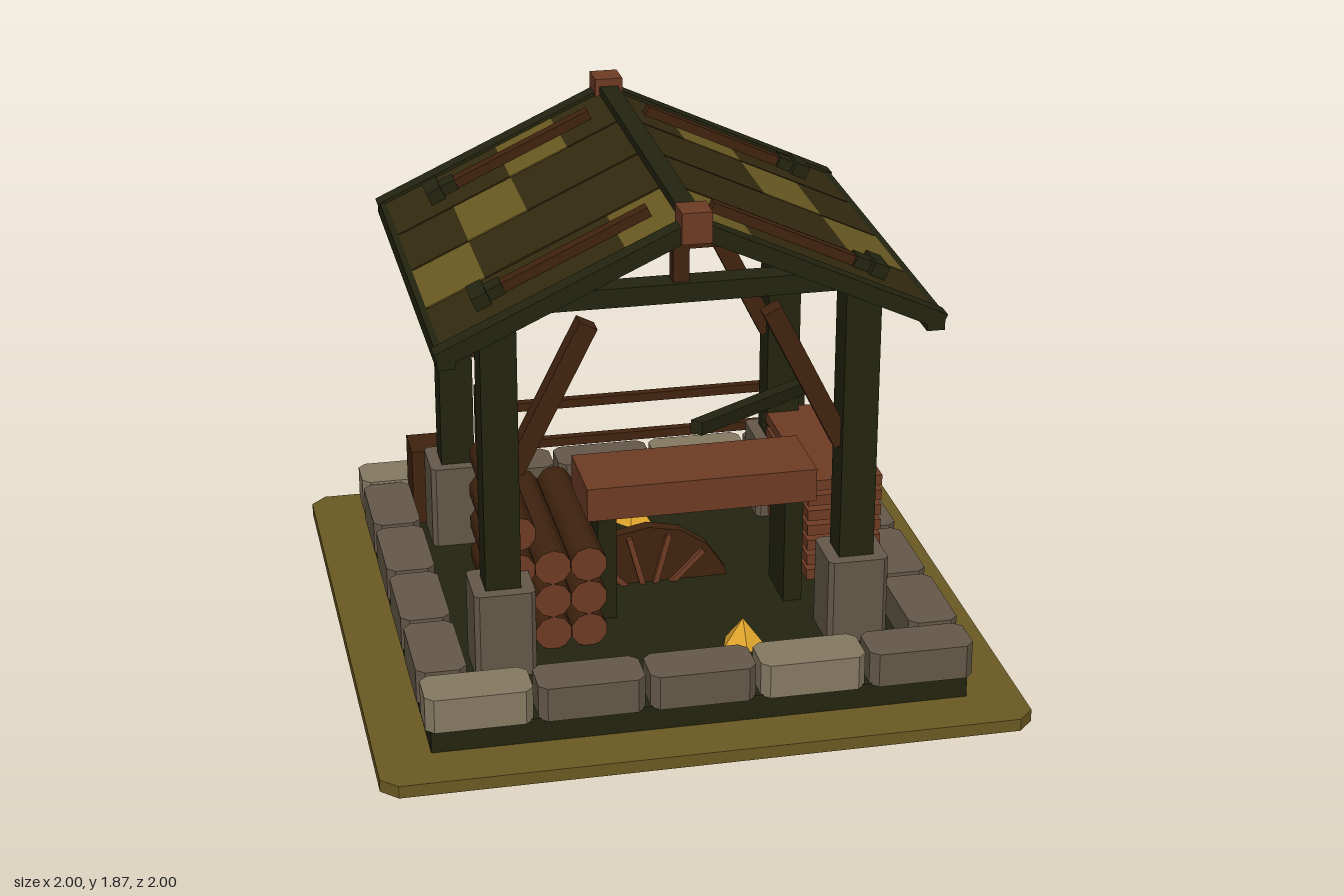
import * as THREE from 'three';

const mat = (name, color) => {
  const m = new THREE.MeshStandardMaterial({ color });
  m.name = name;
  return m;
};

export function createModel() {
  const root = new THREE.Group();
  root.name = 'timberShelter';
  const grass = mat('olive', 0x6b5a22);
  const timber = mat('darkTimber', 0x23240f);
  const brown = mat('darkBrown', 0x40230f);
  const red = mat('redBrown', 0x6e3b24);
  const stone = mat('stone', 0x645848);
  const paleStone = mat('paleStone', 0x857a62);
  const shingle = mat('roofBrown', 0x342a10);
  const gold = mat('gold', 0xe0a52c);

  const add = (name, geo, material, x = 0, y = 0, z = 0, parent = root) => {
    const m = new THREE.Mesh(geo, material);
    m.name = name;
    m.position.set(x, y, z);
    parent.add(m);
    return m;
  };
  // box given by its lower and upper corners
  const box = (name, material, x0, x1, y0, y1, z0, z1) =>
    add(name, new THREE.BoxGeometry(x1 - x0, y1 - y0, z1 - z0), material,
      (x0 + x1) / 2, (y0 + y1) / 2, (z0 + z1) / 2);
  // upright block with its plan corners cut off
  const block = (name, material, x, y, z, w, h, d, c) => {
    const a = w / 2, b = d / 2;
    const s = new THREE.Shape([[-a + c, -b], [a - c, -b], [a, -b + c], [a, b - c],
      [a - c, b], [-a + c, b], [-a, b - c], [-a, -b + c]].map(p => new THREE.Vector2(...p)));
    const g = new THREE.ExtrudeGeometry(s, { depth: h, bevelEnabled: false });
    g.rotateX(-Math.PI / 2);
    return add(name, g, material, x, y, z);
  };
  // square timber running between two points
  const beam = (name, material, p, q, w, h) => {
    const a = new THREE.Vector3(...p), b = new THREE.Vector3(...q);
    const mid = a.clone().add(b).multiplyScalar(0.5);
    const m = add(name, new THREE.BoxGeometry(w, h, a.distanceTo(b)), material, mid.x, mid.y, mid.z);
    m.lookAt(b);
    return m;
  };
  const flat = g => {
    const f = g.toNonIndexed();
    f.computeVertexNormals();
    return f;
  };

  // ground plate and floor
  block('ground', grass, 0, 0.245, 0, 2, 0.04, 2, 0.05);
  box('floor', timber, -0.83, 0.83, 0.285, 0.365, -0.83, 0.83);

  // border stones
  for (const s of [-1, 1]) {
    for (let i = 0; i < 5; i++)
      block('borderStone', i % 3 === 0 ? paleStone : stone, (i - 2) * 0.341, 0.36, s * 0.77, 0.326, 0.11, 0.155, 0.025);
    for (let i = 0; i < 4; i++)
      block('borderStone', stone, s * 0.77, 0.36, (i - 1.5) * 0.342, 0.155, 0.11, 0.322, 0.025);
  }

  // posts, footings and gable frames
  for (const sz of [-1, 1]) {
    const z = sz * 0.465;
    for (const sx of [-1, 1]) {
      block('footing', stone, sx * 0.555, 0.36, z, 0.19, 0.285, 0.19, 0.015);
      add('post', new THREE.BoxGeometry(0.11, 1.2, 0.11), timber, sx * 0.555, 0.96, z);
      beam('brace', brown, [sx * 0.51, 1.02, z], [sx * 0.28, 1.475, z], 0.06, 0.06);
      beam('rafter', timber, [0, 1.825, sz * 0.65], [sx * 0.755, 1.475, sz * 0.65], 0.06, 0.05);
    }
    box('tieBeam', timber, -0.54, 0.54, 1.53, 1.59, z - 0.04, z + 0.04);
    box('kingPost', brown, -0.025, 0.025, 1.59, 1.81, z - 0.025, z + 0.025);
    box('ridgeCap', red, -0.045, 0.045, 1.785, 1.88, sz * 0.65 - 0.048, sz * 0.65 + 0.048);
  }
  box('crossBeam', brown, -0.52, 0.52, 1.515, 1.565, -0.03, 0.03);
  box('ridgeBeam', timber, -0.03, 0.03, 1.79, 1.855, -0.68, 0.68);

  // roof slopes: four rows of four panels, straps and eaves
  const angle = Math.atan2(0.35, 0.755);
  for (const s of [-1, 1]) {
    const slope = new THREE.Group();
    slope.name = 'roofSlope';
    slope.position.y = 1.825;
    slope.rotation.z = -s * angle;
    root.add(slope);
    for (let r = 0; r < 4; r++) for (let c = 0; c < 4; c++)
      add('roofPanel', new THREE.BoxGeometry(0.203, 0.03, 0.31), c === (r + 1) % 4 ? grass : shingle,
        s * (0.1015 + c * 0.203), 0, (r - 1.5) * 0.32, slope);
    for (const z of [-0.465, 0.465]) {
      add('roofStrap', new THREE.BoxGeometry(0.5, 0.03, 0.04), brown, s * 0.34, 0.03, z, slope);
      add('strapNeck', new THREE.BoxGeometry(0.06, 0.035, 0.06), timber, s * 0.6, 0.032, z, slope);
      add('strapFoot', new THREE.BoxGeometry(0.05, 0.045, 0.11), timber, s * 0.645, 0.035, z, slope);
    }
    add('eaveBeam', new THREE.BoxGeometry(0.055, 0.05, 1.36), timber, s * 0.73, 1.475, 0);
  }

  // workbench
  box('benchTop', red, -0.25, 0.488, 0.73, 0.84, 0.02, 0.285);
  for (const x of [-0.18, 0.425]) box('benchLeg', timber, x - 0.03, x + 0.03, 0.36, 0.73, 0.06, 0.25);

  // loose leaning beam
  beam('looseBeam', timber, [0.125, 0.962, 0.16], [0.62, 0.888, -0.285], 0.045, 0.042);

  // stacked planks
  for (let i = 0; i < 7; i++) {
    const y = 0.715 - i * 0.053;
    box('stackedPlank', red, 0.5, 0.745, y - 0.019, y + 0.017, -0.45, 0.145);
  }

  // log pile, with pale cut ends
  const logGeo = new THREE.CylinderGeometry(0.058, 0.058, 0.61, 10);
  logGeo.rotateX(Math.PI / 2);
  const log = (x, y) => add('log', logGeo, [brown, red, red], x, y, 0.105);
  for (let r = 0; r < 3; r++) for (let c = 0; c < 3; c++) log(-0.27 - c * 0.112, 0.418 + r * 0.114);
  log(-0.49, 0.77);

  // back fence
  for (const x of [-0.445, 0.66]) box('fencePost', timber, x - 0.02, x + 0.02, 0.36, 0.83, -0.63, -0.59);
  for (const y of [0.605, 0.745]) box('fenceRail', brown, -0.445, 0.66, y - 0.015, y + 0.015, -0.625, -0.595);

  // crate in the back corner
  box('crate', brown, -0.69, -0.51, 0.36, 0.63, -0.705, -0.56);

  // half-sunk wheel
  const wheel = new THREE.Group();
  wheel.name = 'wheel';
  wheel.position.set(0, 0.285, 0);
  root.add(wheel);
  const disc = (name, r, z0, z1, n, m) => {
    const g = new THREE.CylinderGeometry(r, r, z1 - z0, n);
    g.rotateX(Math.PI / 2);
    return add(name, flat(g), m, 0, 0, (z0 + z1) / 2, wheel);
  };
  disc('wheelDisc', 0.276, -0.018, 0.025, 16, brown);
  disc('wheelBack', 0.22, -0.022, -0.018, 16, timber);
  disc('wheelHub', 0.05, 0.02, 0.08, 8, brown);
  for (let i = 0; i < 12; i++) {
    const a = (i + 0.5) * Math.PI / 6;
    const spoke = add('spoke', new THREE.BoxGeometry(0.22, 0.018, 0.016), red,
      Math.cos(a) * 0.145, Math.sin(a) * 0.145, 0.032, wheel);
    spoke.rotation.z = a;
  }

  // straw heaps on the floor
  const heap = flat(new THREE.ConeGeometry(0.07, 0.09, 5));
  [[0.2, 0.5], [0.04, -0.44], [-0.2, -0.45], [-0.11, -0.2]].forEach(([x, z], i) => {
    add('strawHeap', heap, gold, x, 0.41, z).rotation.y = i;
  });

  return root;
}
